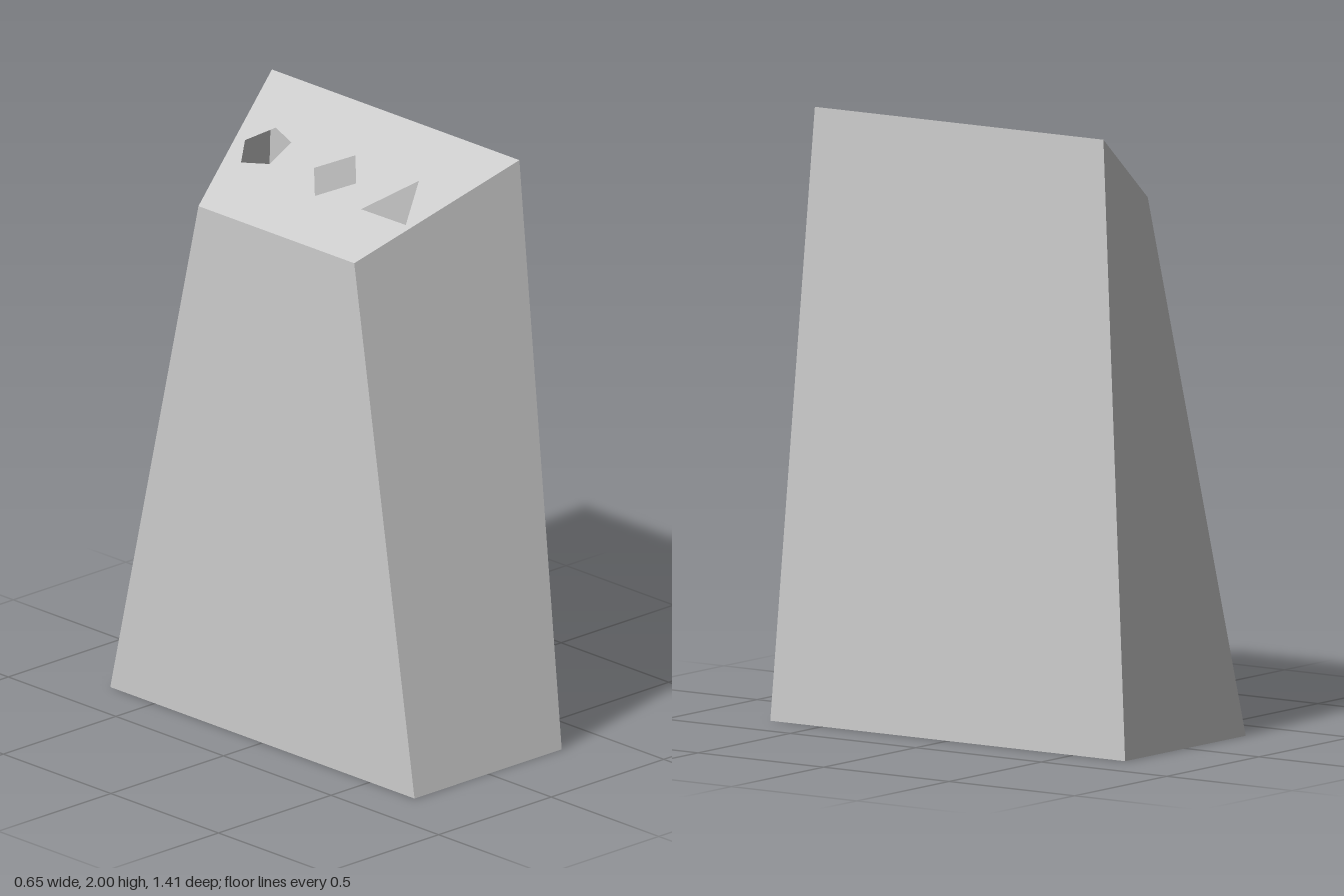
import * as THREE from 'three';

// height of the slanted top at a given x
const topY = (x) => 1.863 + 0.517 * x;

// corner loops as [x, z], clockwise seen from above
const baseLoop = [[-0.327, -0.707], [0.327, -0.707], [0.327, 0.707], [-0.327, 0.707]];
const topLoop = [[-0.265, -0.362], [0.265, -0.575], [0.265, 0.575], [-0.265, 0.362]];
const pentagonHole = [[0.004, -0.427], [0.081, -0.365], [0.052, -0.262], [-0.044, -0.262], [-0.073, -0.365]];
const squareHole = [[-0.004, -0.098], [0.086, 0], [-0.004, 0.098], [-0.094, 0]];
const triangleHole = [[-0.082, 0.202], [0.079, 0.303], [-0.08, 0.408]];

const toPoints = (loop) => loop.map(([x, z]) => new THREE.Vector2(x, -z));

// slanted plate pierced by the three holes
function slantedPlate(loop, holes) {
  const shape = new THREE.Shape(toPoints(loop));
  shape.holes = holes.map((h) => new THREE.Path(toPoints(h)));
  const geo = new THREE.ShapeGeometry(shape).rotateX(-Math.PI / 2);
  const p = geo.attributes.position;
  for (let i = 0; i < p.count; i++) p.setY(i, topY(p.getX(i)));
  geo.computeVertexNormals();
  return geo;
}

// four-cornered panel, shaded evenly with one normal although slightly twisted
function panel(a, b, c, d) {
  const normal = c.clone().sub(a).cross(d.clone().sub(b)).normalize();
  const geo = new THREE.BufferGeometry().setFromPoints([a, b, c, d]);
  geo.setIndex([0, 1, 3, 1, 2, 3]);
  const normals = [0, 1, 2, 3].flatMap(() => normal.toArray());
  geo.setAttribute('normal', new THREE.Float32BufferAttribute(normals, 3));
  return geo;
}

export function createModel() {
  const model = new THREE.Group();
  model.name = 'hollowTaperedBox';
  const grey = new THREE.MeshStandardMaterial({ color: 0xcacaca, side: THREE.DoubleSide });
  grey.name = 'plain grey';

  const add = (name, geo) => {
    const mesh = new THREE.Mesh(geo, grey);
    mesh.name = name;
    model.add(mesh);
  };

  // thin side walls
  const upper = topLoop.map(([x, z]) => new THREE.Vector3(x, topY(x), z));
  const lower = baseLoop.map(([x, z]) => new THREE.Vector3(x, 0, z));
  ['backWall', 'leftWall', 'frontWall', 'rightWall'].forEach((name, i) => {
    const j = (i + 1) % 4;
    add(name, panel(upper[i], upper[j], lower[j], lower[i]));
  });

  // pierced lid and closed floor
  add('slantedLid', slantedPlate(topLoop, [pentagonHole, squareHole, triangleHole]));
  add('floor', new THREE.PlaneGeometry(0.654, 1.414).rotateX(Math.PI / 2));
  return model;
}
